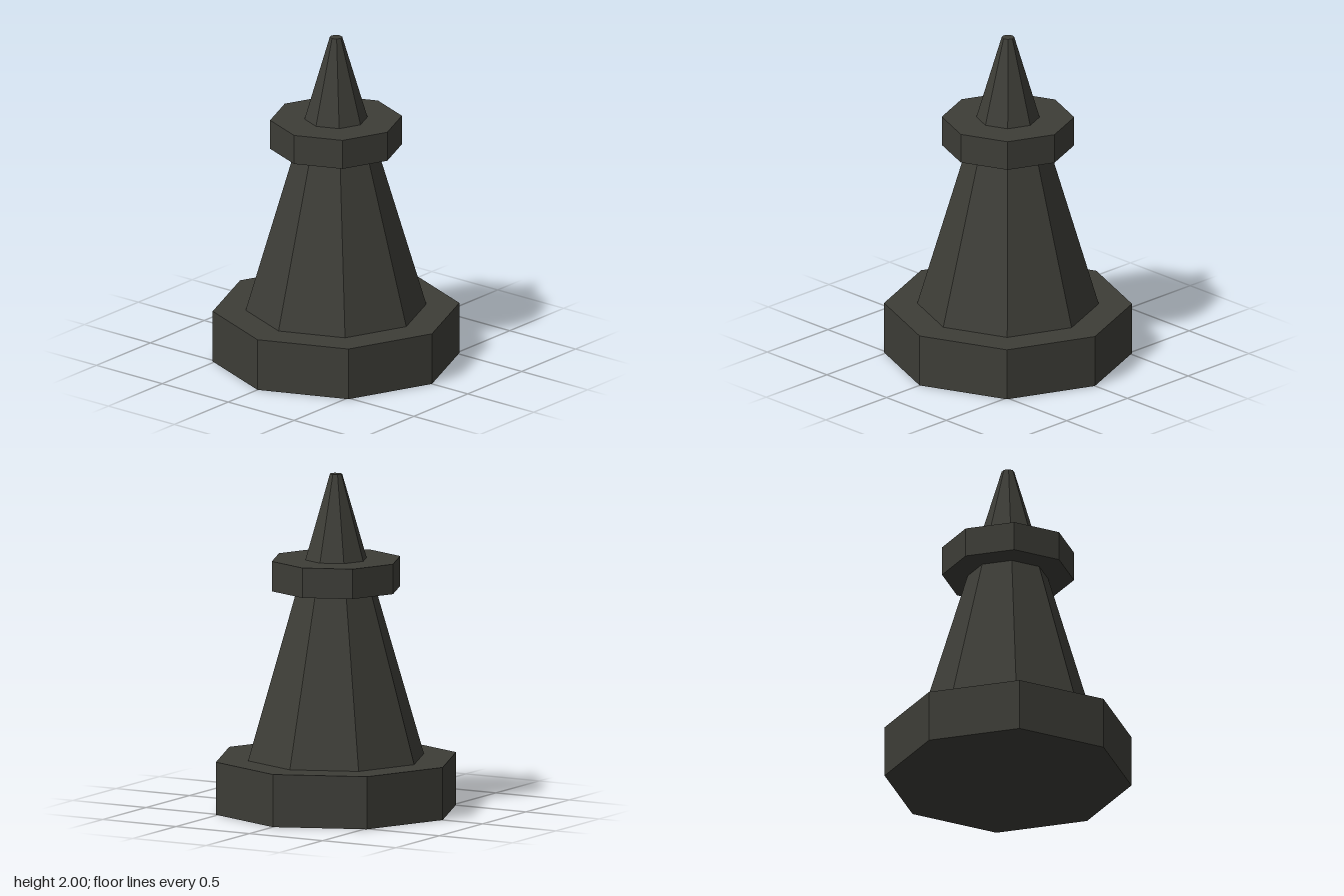
import * as THREE from 'three';

export function createModel() {
  const model = new THREE.Group();
  model.name = 'octagonalSpire';

  const darkStone = new THREE.MeshStandardMaterial({ color: 0x3d3d37 });
  darkStone.name = 'darkStone';
  darkStone.flatShading = true;

  // Eight-sided prism or taper between two heights, corners on the x and z axes
  const addOctagon = (name, bottomRadius, topRadius, y0, y1) => {
    const geometry = new THREE.CylinderGeometry(topRadius, bottomRadius, y1 - y0, 8);
    const mesh = new THREE.Mesh(geometry, darkStone);
    mesh.name = name;
    mesh.position.y = (y0 + y1) / 2;
    model.add(mesh);
  };

  addOctagon('base', 0.728, 0.728, 0, 0.313);
  addOctagon('taperedShaft', 0.533, 0.037, 0.313, 2);
  addOctagon('collar', 0.389, 0.389, 1.316, 1.494);

  return model;
}
